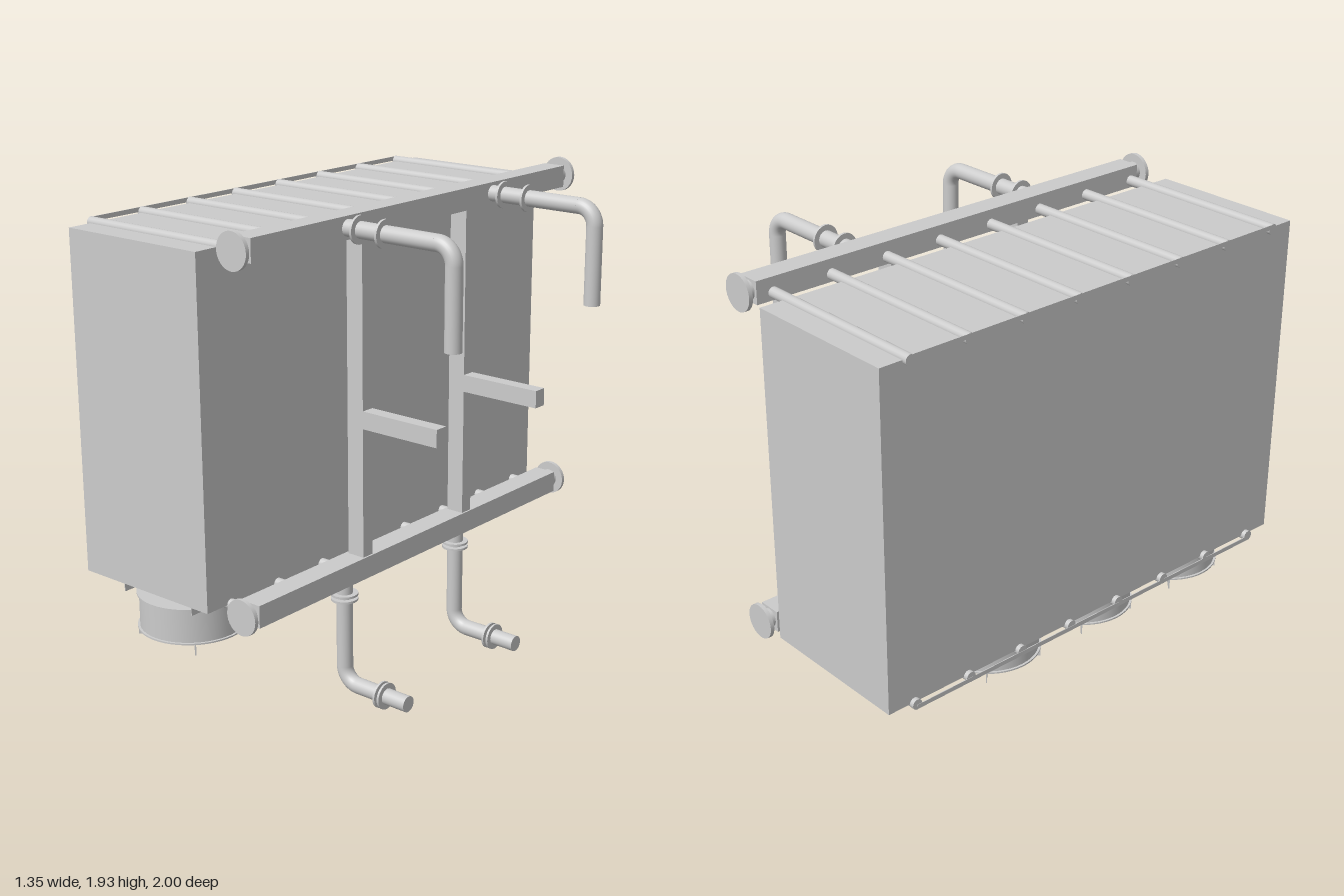
import * as THREE from 'three';

const material = new THREE.MeshStandardMaterial({ color: 0xcccccc, side: THREE.DoubleSide });

function add(parent, name, geometry, x = 0, y = 0, z = 0) {
  const mesh = new THREE.Mesh(geometry, material);
  mesh.name = name;
  mesh.position.set(x, y, z);
  parent.add(mesh);
  return mesh;
}

const box = (w, h, d) => new THREE.BoxGeometry(w, h, d);

// Cylinder centred on its middle, lying along the given axis
function rod(axis, radius, length, sides = 32) {
  const g = new THREE.CylinderGeometry(radius, radius, length, sides);
  if (axis === 'x') g.rotateZ(-Math.PI / 2);
  if (axis === 'z') g.rotateX(Math.PI / 2);
  return g;
}

function group(parent, name, x = 0, y = 0, z = 0) {
  const g = new THREE.Group();
  g.name = name;
  g.position.set(x, y, z);
  parent.add(g);
  return g;
}

const HEADER_X = 0.115, TOP_Y = 1.861, LOW_Y = 0.52;
const PIPE_R = 0.032, BEND = 0.07, FLANGE_R = 0.053;

// Square header with a round neck and blind flange at each end
function addHeader(parent, name, y) {
  const header = group(parent, name, HEADER_X, y, -0.02);
  add(header, 'headerBeam', box(0.095, 0.088, 1.868));
  for (const s of [1, -1]) {
    add(header, 'headerNeck', rod('z', 0.037, 0.05), 0, 0, s * 0.945);
    add(header, 'headerFlange', rod('z', 0.07, 0.016), 0, 0, s * 0.972);
  }
}

// Pipe leaving the upper header sideways and turning down
function addUpperPipe(parent, z) {
  const pipe = group(parent, 'upperPipe', 0, 0, z);
  const endX = 0.64, bendX = endX - BEND, bendY = TOP_Y - BEND, endY = 1.485;
  add(pipe, 'pipeRun', rod('x', PIPE_R, bendX - HEADER_X), (bendX + HEADER_X) / 2, TOP_Y);
  add(pipe, 'pipeBend', new THREE.TorusGeometry(BEND, PIPE_R, 24, 16, Math.PI / 2), bendX, bendY);
  add(pipe, 'pipeDrop', rod('y', PIPE_R, bendY - endY), endX, (bendY + endY) / 2);
  for (const x of [0.217, 0.332])
    add(pipe, 'pipeFlange', rod('x', FLANGE_R, 0.01), x, TOP_Y);
}

// Pipe dropping from the lower header and turning outward
function addLowerPipe(parent, z) {
  const pipe = group(parent, 'lowerPipe', 0, 0, z);
  const x = 0.11, y = 0.053, endX = 0.427;
  add(pipe, 'pipeDrop', rod('y', PIPE_R, LOW_Y - y - BEND), x, (LOW_Y + y + BEND) / 2);
  const bend = new THREE.TorusGeometry(BEND, PIPE_R, 24, 16, Math.PI / 2).rotateZ(Math.PI);
  add(pipe, 'pipeBend', bend, x + BEND, y + BEND);
  add(pipe, 'pipeRun', rod('x', PIPE_R, endX - x - BEND), (endX + x + BEND) / 2, y);
  for (const fy of [0.404, 0.424]) add(pipe, 'pipeFlange', rod('y', FLANGE_R, 0.009), x, fy);
  for (const fx of [0.297, 0.318]) add(pipe, 'pipeFlange', rod('x', FLANGE_R, 0.009), fx, y);
}

// Fan drum with rim flanges, hanger plates and crossed blades
function addFan(parent, z) {
  const fan = group(parent, 'fan', -0.33, 0, z);
  add(fan, 'fanDrum', rod('y', 0.203, 0.14, 48), 0, 0.382);
  for (const y of [0.314, 0.452]) add(fan, 'fanRim', rod('y', 0.212, 0.006, 48), 0, y);
  for (const s of [1, -1]) add(fan, 'fanHanger', box(0.003, 0.07, 0.36), s * 0.18, 0.485);
  for (const s of [1, -1]) {
    const blade = add(fan, 'fanBlade', box(0.42, 0.046, 0.005), 0, 0.291);
    blade.rotation.y = s * 0.74;
  }
}

export function createModel() {
  const model = new THREE.Group();
  model.name = 'coolerUnit';

  // Main casing
  add(model, 'casing', box(0.645, 1.335, 2), -0.3375, 1.18, 0);

  addHeader(model, 'upperHeader', TOP_Y);
  addHeader(model, 'lowerHeader', LOW_Y);

  // Cross tubes half sunk in the casing, joined by a thin strip at their far ends
  for (const [y, stripY] of [[1.847, 1.857], [0.512, 0.502]]) {
    for (let i = 0; i < 8; i++)
      add(model, 'crossTube', rod('x', 0.021, 0.775, 16), -0.29, y, -0.884 + i * 0.2517);
    add(model, 'endStrip', box(0.003, 0.018, 1.762), -0.677, stripY, -0.003);
  }

  // Columns between the headers, each with a bracket arm
  for (const z of [0.3, -0.325]) {
    add(model, 'column', box(0.075, TOP_Y - LOW_Y, 0.055), 0.118, (TOP_Y + LOW_Y) / 2, z);
    add(model, 'bracketArm', box(0.36, 0.07, 0.055), 0.325, 1.117, z);
  }

  for (const z of [0.413, -0.46]) addUpperPipe(model, z);
  for (const z of [0.387, -0.313]) addLowerPipe(model, z);
  for (const z of [0.771, 0.262, -0.246]) addFan(model, z);

  return model;
}
